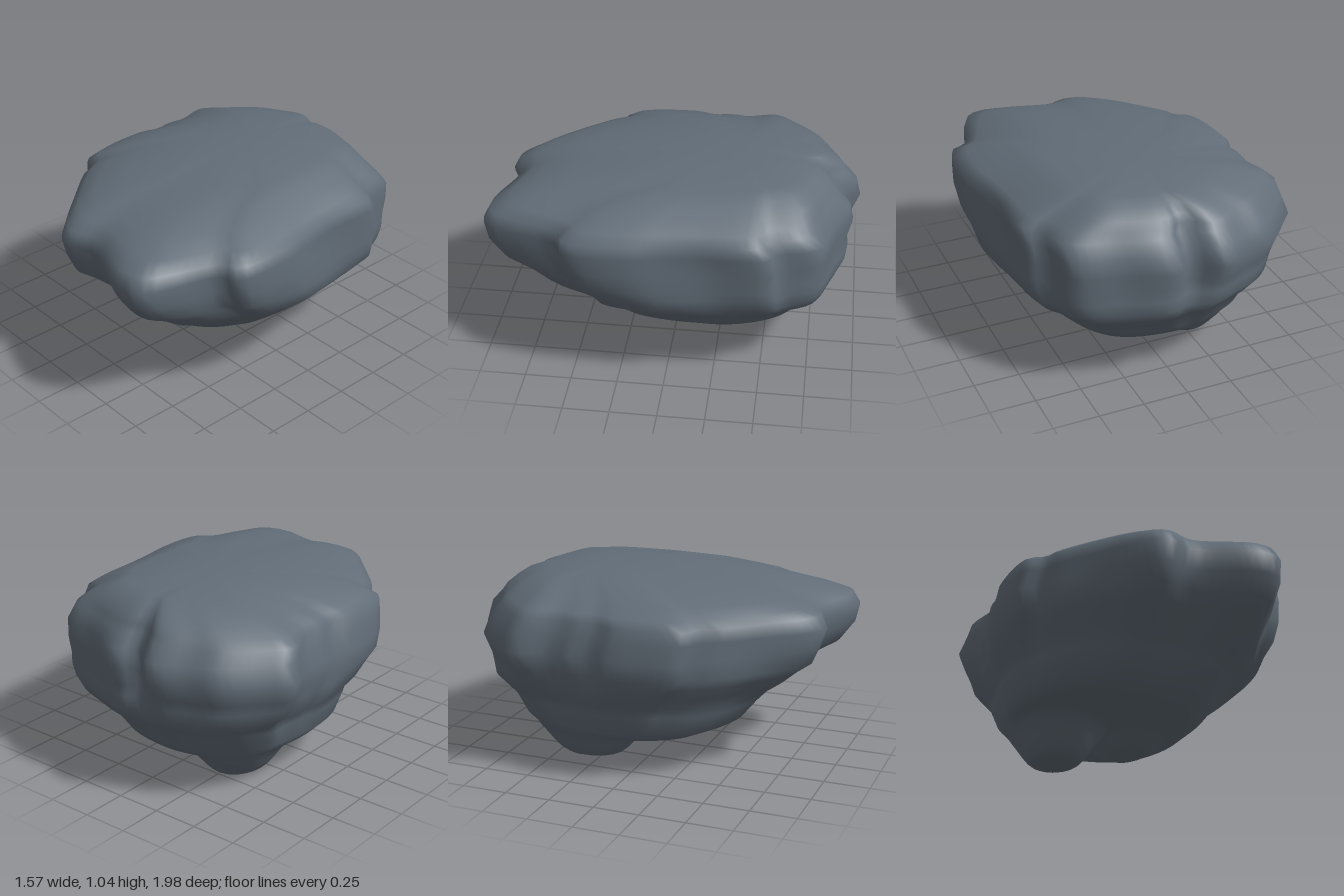
import * as THREE from 'three';

// plan outline of the rock as x, z pairs, starting at the back
const OUTLINE = [
  -0.2, -1, -0.05, -0.9, 0.05, -0.96, 0.3, -0.88, 0.57, -0.8, 0.64, -0.58, 0.7, -0.55,
  0.73, -0.2, 0.76, 0, 0.79, 0.2, 0.77, 0.52, 0.68, 0.57, 0.6, 0.82, 0.53, 0.97, 0.4, 1,
  0.05, 0.9, -0.13, 0.95, -0.38, 0.72, -0.59, 0.47, -0.62, 0.4, -0.72, 0.36, -0.78, -0.02,
  -0.73, -0.14, -0.75, -0.25, -0.73, -0.35, -0.8, -0.57, -0.72, -0.68, -0.54, -0.85, -0.4, -0.9,
];

// levels from top to bottom: y, xMin, xMax, zMin, zMax, roundness (0 outline, 1 oval)
const LEVELS = [
  [1.035, -0.2, 0.2, -0.48, 0.0, 0.6],
  [1.02, -0.36, 0.42, -0.68, 0.25, 0.5],
  [0.99, -0.5, 0.52, -0.78, 0.55, 0.4],
  [0.95, -0.61, 0.62, -0.84, 0.76, 0.35],
  [0.91, -0.71, 0.72, -0.88, 0.87, 0.25],
  [0.87, -0.75, 0.78, -0.92, 0.97, 0.1],
  [0.8, -0.77, 0.79, -0.98, 1.0, 0],
  [0.7, -0.8, 0.79, -1.0, 0.97, 0],
  [0.6, -0.78, 0.78, -0.97, 0.92, 0.15],
  [0.54, -0.76, 0.77, -0.96, 0.82, 0.3],
  [0.47, -0.73, 0.75, -0.95, 0.74, 0.45],
  [0.41, -0.67, 0.68, -0.92, 0.65, 0.6],
  [0.36, -0.66, 0.6, -0.84, 0.59, 0.7],
  [0.25, -0.62, 0.51, -0.77, 0.5, 0.85],
  [0.2, -0.57, 0.44, -0.73, 0.36, 1],
];

const SEGMENTS = 112;
const UNDER_RINGS = 16;

// lumps hanging below the body: x, z, xRadius, zRadius, depth
const LUMPS = [
  [-0.27, -0.33, 0.28, 0.36, 0.185],
  [0.17, -0.35, 0.22, 0.3, 0.065],
];

function undersideHeight(x, z, t) {
  let drop = 0;
  for (const [cx, cz, rx, rz, depth] of LUMPS) {
    const d = Math.hypot((x - cx) / rx, (z - cz) / rz);
    drop = Math.max(drop, depth * (1 - THREE.MathUtils.smoothstep(d, 0.4, 1.05)));
  }
  return Math.max(0, 0.2 - 0.015 * t - drop);
}

function rockGeometry() {
  const points = [];
  for (let i = 0; i < OUTLINE.length; i += 2) {
    points.push(new THREE.Vector3(OUTLINE[i] / 0.8, 0, OUTLINE[i + 1]));
  }
  const plan = new THREE.CatmullRomCurve3(points, true, 'centripetal').getSpacedPoints(SEGMENTS);
  const positions = [];

  // crown point, then the body rings
  positions.push(0, 1.04, -0.25);
  let lastRing = [];
  LEVELS.forEach(([y, x0, x1, z0, z1, round], level) => {
    lastRing = [];
    for (let j = 0; j < SEGMENTS; j++) {
      const p = plan[j];
      const a = Math.atan2(p.z, p.x);
      const r = (Math.abs(Math.cos(a)) ** 2.4 + Math.abs(Math.sin(a)) ** 2.4) ** (-1 / 2.4);
      const nx = THREE.MathUtils.lerp(p.x, Math.cos(a) * r, round);
      const nz = THREE.MathUtils.lerp(p.z, Math.sin(a) * r, round);
      // gentle chipping of the sides
      const chip = 1 - 0.012 * (1 + Math.sin(a * 5 + level * 1.3) * Math.cos(a * 3 - level * 0.9));
      const x = (x0 + x1) / 2 + nx * chip * (x1 - x0) / 2;
      const z = (z0 + z1) / 2 + nz * chip * (z1 - z0) / 2;
      lastRing.push([x, z]);
      positions.push(x, y, z);
    }
  });

  // underside rings shrinking towards a centre point
  const cx = -0.1, cz = -0.25;
  for (let i = 1; i < UNDER_RINGS; i++) {
    const t = i / UNDER_RINGS;
    for (const [ex, ez] of lastRing) {
      const x = THREE.MathUtils.lerp(ex, cx, t);
      const z = THREE.MathUtils.lerp(ez, cz, t);
      positions.push(x, undersideHeight(x, z, t), z);
    }
  }
  positions.push(cx, undersideHeight(cx, cz, 1), cz);

  // join the rings and close both ends
  const rings = LEVELS.length + UNDER_RINGS - 1;
  const at = (ring, j) => 1 + ring * SEGMENTS + (j % SEGMENTS);
  const end = 1 + rings * SEGMENTS;
  const index = [];
  for (let j = 0; j < SEGMENTS; j++) {
    index.push(0, at(0, j + 1), at(0, j));
    for (let i = 0; i < rings - 1; i++) {
      const a = at(i, j), b = at(i, j + 1), c = at(i + 1, j), d = at(i + 1, j + 1);
      index.push(a, b, c, c, b, d);
    }
    index.push(at(rings - 1, j), at(rings - 1, j + 1), end);
  }

  const geometry = new THREE.BufferGeometry();
  geometry.setAttribute('position', new THREE.Float32BufferAttribute(positions, 3));
  geometry.setIndex(index);
  geometry.computeVertexNormals();
  return geometry;
}

export function createModel() {
  const group = new THREE.Group();
  group.name = 'boulder';
  const stone = new THREE.MeshStandardMaterial({ color: 0x626d78 });
  stone.name = 'slate grey stone';
  const rock = new THREE.Mesh(rockGeometry(), stone);
  rock.name = 'rock';
  group.add(rock);
  return group;
}
